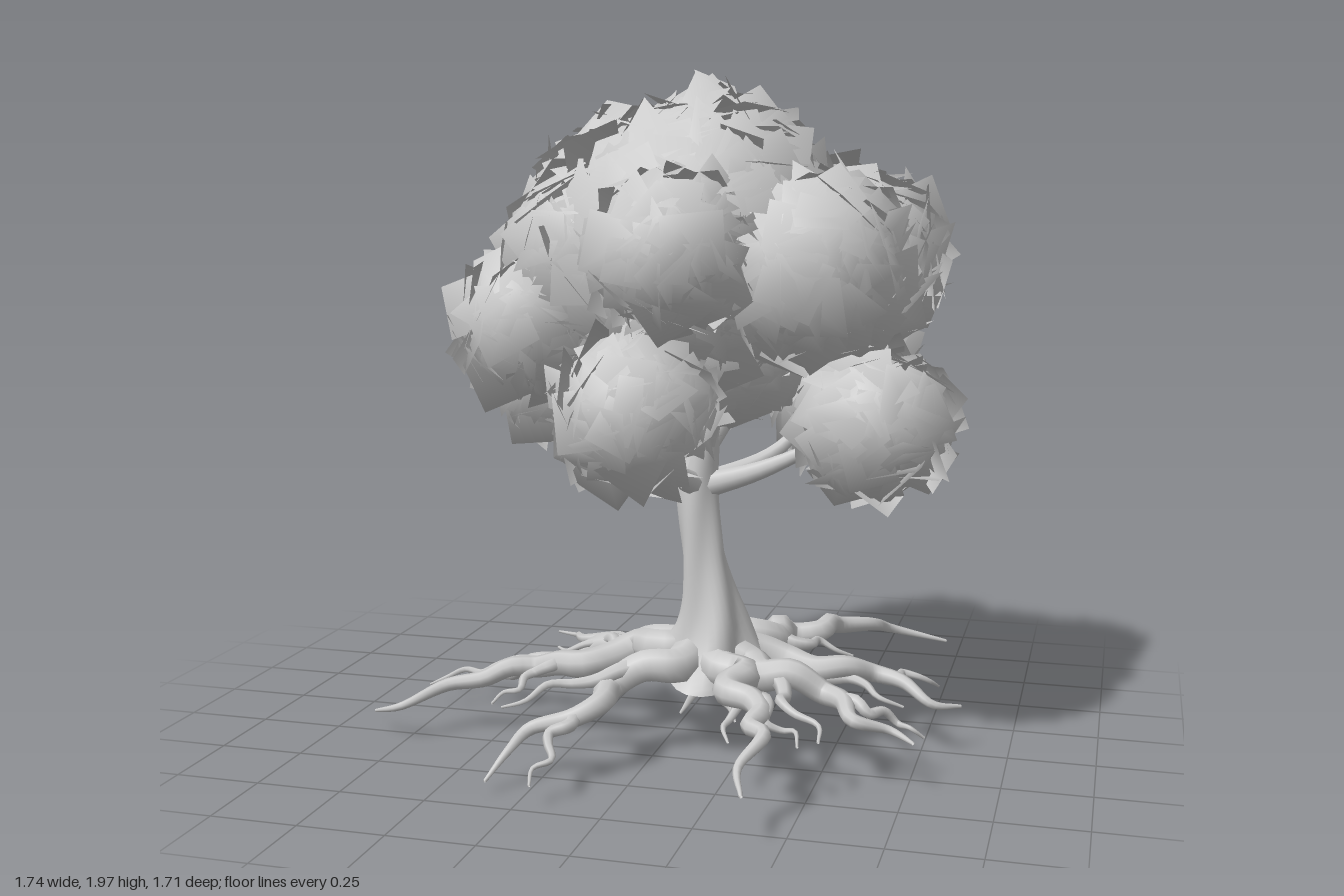
import * as THREE from 'three';
import { mergeGeometries } from 'three/addons/utils/BufferGeometryUtils.js';

const V = (x, y, z) => new THREE.Vector3(x, y, z);

// small seeded random source
function seeded(seed) {
  return () => {
    seed = (seed * 1664525 + 1013904223) % 4294967296;
    return seed / 4294967296;
  };
}

// tube along points whose radius follows radius(u, angle)
function limb(points, radius, segments = 24, sides = 8) {
  const curve = new THREE.CatmullRomCurve3(points);
  const geo = new THREE.TubeGeometry(curve, segments, 1, sides, false);
  const pos = geo.attributes.position;
  const p = new THREE.Vector3();
  for (let i = 0; i <= segments; i++) {
    const u = i / segments;
    const c = curve.getPointAt(u);
    for (let j = 0; j <= sides; j++) {
      const k = i * (sides + 1) + j;
      p.fromBufferAttribute(pos, k).sub(c).multiplyScalar(radius(u, (j % sides) / sides * Math.PI * 2)).add(c);
      pos.setXYZ(k, p.x, p.y, p.z);
    }
  }
  geo.computeVertexNormals();
  // close the shading seam along the tube
  const n = geo.attributes.normal;
  const a = new THREE.Vector3(), b = new THREE.Vector3();
  for (let i = 0; i <= segments; i++) {
    const k = i * (sides + 1), e = k + sides;
    a.fromBufferAttribute(n, k).add(b.fromBufferAttribute(n, e)).normalize();
    n.setXYZ(k, a.x, a.y, a.z);
    n.setXYZ(e, a.x, a.y, a.z);
  }
  return geo;
}

const taper = (r0, r1, power = 0.8) => (u) => r0 + (r1 - r0) * Math.pow(u, power);

// leaf clumps: centre x, y, z and radii x, y, z
const CLUMPS = [
  [0.09, 1.49, 0.08, 0.46, 0.42, 0.48],
  [0.14, 1.60, 0.10, 0.33, 0.34, 0.34],
  [-0.12, 1.57, -0.07, 0.34, 0.32, 0.37],
  [0.50, 1.45, -0.18, 0.26, 0.28, 0.30],
  [0.44, 1.45, 0.21, 0.27, 0.27, 0.31],
  [0.20, 1.48, -0.22, 0.34, 0.29, 0.28],
  [0.12, 1.50, 0.46, 0.21, 0.21, 0.23],
  [-0.17, 1.49, 0.17, 0.27, 0.26, 0.25],
  [-0.38, 1.28, 0.24, 0.19, 0.20, 0.19],
  [-0.35, 1.11, -0.12, 0.22, 0.21, 0.29],
  [0.02, 1.07, 0.50, 0.21, 0.20, 0.21],
  [0.61, 1.01, 0.08, 0.22, 0.21, 0.22],
  [0.47, 1.06, -0.25, 0.23, 0.26, 0.23],
  [0.08, 1.24, -0.62, 0.22, 0.21, 0.20],
  [-0.08, 1.05, -0.40, 0.21, 0.21, 0.21],
  [0.06, 1.23, 0.00, 0.38, 0.25, 0.38],
];

// square leaf cards laid over an ellipsoid, shaded like a rounded mass
function leafCards(clump, rand) {
  const [cx, cy, cz, rx, ry, rz] = clump;
  const count = Math.round(2900 * (rx * ry + ry * rz + rz * rx) / 3);
  const cards = [];
  const dummy = new THREE.Object3D();
  for (let i = 0; i < count; i++) {
    // even spiral over the sphere
    const h = 1 - 2 * (i + 0.5) / count;
    const a = i * 2.39996 + rand() * 0.3;
    const s = Math.sqrt(1 - h * h);
    const d = V(s * Math.cos(a), h, s * Math.sin(a));
    const depth = 0.8 + rand() * 0.16;
    const p = V(cx + d.x * rx * depth, cy + d.y * ry * depth, cz + d.z * rz * depth);
    const buried = CLUMPS.some((c) => c !== clump &&
      Math.hypot((p.x - c[0]) / c[3], (p.y - c[1]) / c[4], (p.z - c[2]) / c[5]) < 0.7);
    if (buried) continue;
    const out = V(d.x / rx, d.y / ry, d.z / rz).normalize();
    const tilt = V(rand() - 0.5, rand() - 0.5, rand() - 0.5).multiplyScalar(1.25);
    dummy.position.copy(p);
    dummy.lookAt(p.clone().add(out).add(tilt));
    dummy.rotateZ(rand() * Math.PI * 2);
    dummy.scale.setScalar(0.115 + rand() * 0.055);
    dummy.updateMatrix();
    const card = new THREE.PlaneGeometry(1, 1).applyMatrix4(dummy.matrix);
    const pos = card.attributes.position;
    for (let k = 0; k < 4; k++) {
      const n = V((pos.getX(k) - cx) / rx, (pos.getY(k) - cy) / ry, (pos.getZ(k) - cz) / rz).normalize();
      card.attributes.normal.setXYZ(k, n.x, n.y, n.z);
    }
    cards.push(card);
  }
  return mergeGeometries(cards);
}

// winding path from a to b that sinks gradually
function rootPath(a, b, wiggle, rand, steps = 8) {
  const side = V(b.z - a.z, 0, a.x - b.x).normalize();
  const phase = rand() * 6;
  const pts = [];
  for (let i = 0; i <= steps; i++) {
    const t = i / steps;
    const p = a.clone().lerp(b, t);
    p.y = a.y + (b.y - a.y) * Math.pow(t, 1.45);
    if (i > 0 && i < steps) {
      p.addScaledVector(side, wiggle * (Math.sin(phase + i * 1.7) + (rand() - 0.5) * 0.8));
      p.y += (rand() - 0.5) * wiggle;
    }
    pts.push(p);
  }
  return pts;
}

export function createModel() {
  const tree = new THREE.Group();
  tree.name = 'tree';
  const bark = new THREE.MeshStandardMaterial({ color: 0xcccccc, side: THREE.DoubleSide });
  const leaf = new THREE.MeshStandardMaterial({ color: 0xcccccc, side: THREE.DoubleSide });
  const rand = seeded(7);
  const add = (name, geo, mat, parent = tree) => {
    const mesh = new THREE.Mesh(geo, mat);
    mesh.name = name;
    parent.add(mesh);
    return mesh;
  };

  // twisted trunk flaring into the root crown
  const trunkPath = [V(0.13, 0.25, 0.07), V(0.14, 0.4, 0.09), V(0.115, 0.6, 0.1), V(0.095, 0.8, 0.1), V(0.1, 1.0, 0.08)];
  add('trunk', limb(trunkPath, (u, a) =>
    (0.06 + 0.12 * Math.pow(1 - u, 5)) * (1 + 0.15 * (1 - u) * Math.cos(4 * a + 9 * u)), 40, 30), bark);
  const crown = add('rootCrown', new THREE.SphereGeometry(0.16, 20, 12), bark);
  crown.scale.y = 0.4;
  crown.position.set(0.13, 0.27, 0.07);

  // branches reaching into the leaf clumps
  const branches = new THREE.Group();
  branches.name = 'branches';
  tree.add(branches);
  CLUMPS.forEach(([x, y, z]) => {
    const start = V(0.1, y < 1.2 ? 0.8 : 0.9, 0.1);
    const end = start.clone().lerp(V(x, y, z), 0.85);
    const mid = start.clone().lerp(end, 0.5);
    mid.y += y < 1.2 ? -0.03 : 0.02;
    mid.x += (rand() - 0.5) * 0.08;
    mid.z += (rand() - 0.5) * 0.08;
    add('branch', limb([start, mid, end], taper(0.042, 0.01), 12, 8), bark, branches);
  });

  // main roots: a winding run to the first point, then on through the rest to the tip
  const runs = [
    [[-0.55, 0.19, 0.17], [-0.66, 0.17, 0.2], [-0.76, 0.13, 0.31], [-0.87, 0.09, 0.26]],
    [[-0.79, 0.03, -0.19]],
    [[-0.36, 0.06, 0.66]],
    [[0.41, 0.25, 0.62], [0.37, 0.2, 0.75], [0.4, 0.16, 0.84]],
    [[0.77, 0.17, 0.36]],
    [[0.86, 0.16, -0.03]],
    [[0.42, 0.26, -0.46], [0.52, 0.24, -0.57], [0.56, 0.2, -0.68], [0.74, 0.15, -0.75]],
    [[-0.25, 0.04, -0.38]],
    [[0.16, 0.03, -0.35]],
  ];
  const roots = new THREE.Group();
  roots.name = 'roots';
  tree.add(roots);
  runs.forEach((run) => {
    const [first, ...rest] = run.map((c) => V(...c));
    const dir = V(first.x - 0.13, 0, first.z - 0.08).normalize();
    const start = V(0.13, 0.31, 0.08).addScaledVector(dir, 0.06);
    const path = rootPath(start, first, 0.042, rand);
    add('root', limb([...path, ...rest], (u) => 0.005 + 0.055 * Math.pow(1 - u, 0.95), 44, 8), bark, roots);
    const length = start.distanceTo(first);
    [2, 5].forEach((at, i) => {
      const turn = (i % 2 ? 1 : -1) * (0.4 + rand() * 0.3);
      const reach = length * (0.55 - 0.2 * i);
      const forkDir = dir.clone().applyAxisAngle(V(0, 1, 0), turn);
      const end = path[at].clone().addScaledVector(forkDir, reach);
      end.y = Math.max(0.05, end.y - 0.05 - rand() * 0.06);
      add('rootFork', limb(rootPath(path[at], end, 0.028, rand, 6), taper(0.032 - 0.008 * i, 0.004), 24, 6), bark, roots);
    });
  });

  // short rootlets hanging under the crown
  [[0.06, 0.13, 0.16], [0.24, 0.14, 0.22]].forEach(([x, y, z]) => {
    const path = rootPath(V(0.13, 0.26, 0.08), V(x, y, z), 0.02, rand, 5);
    add('rootlet', limb(path, taper(0.035, 0.004), 20, 6), bark, roots);
  });

  // foliage
  const foliage = new THREE.Group();
  foliage.name = 'foliage';
  tree.add(foliage);
  CLUMPS.forEach((clump) => add('leafClump', leafCards(clump, rand), leaf, foliage));
  return tree;
}
